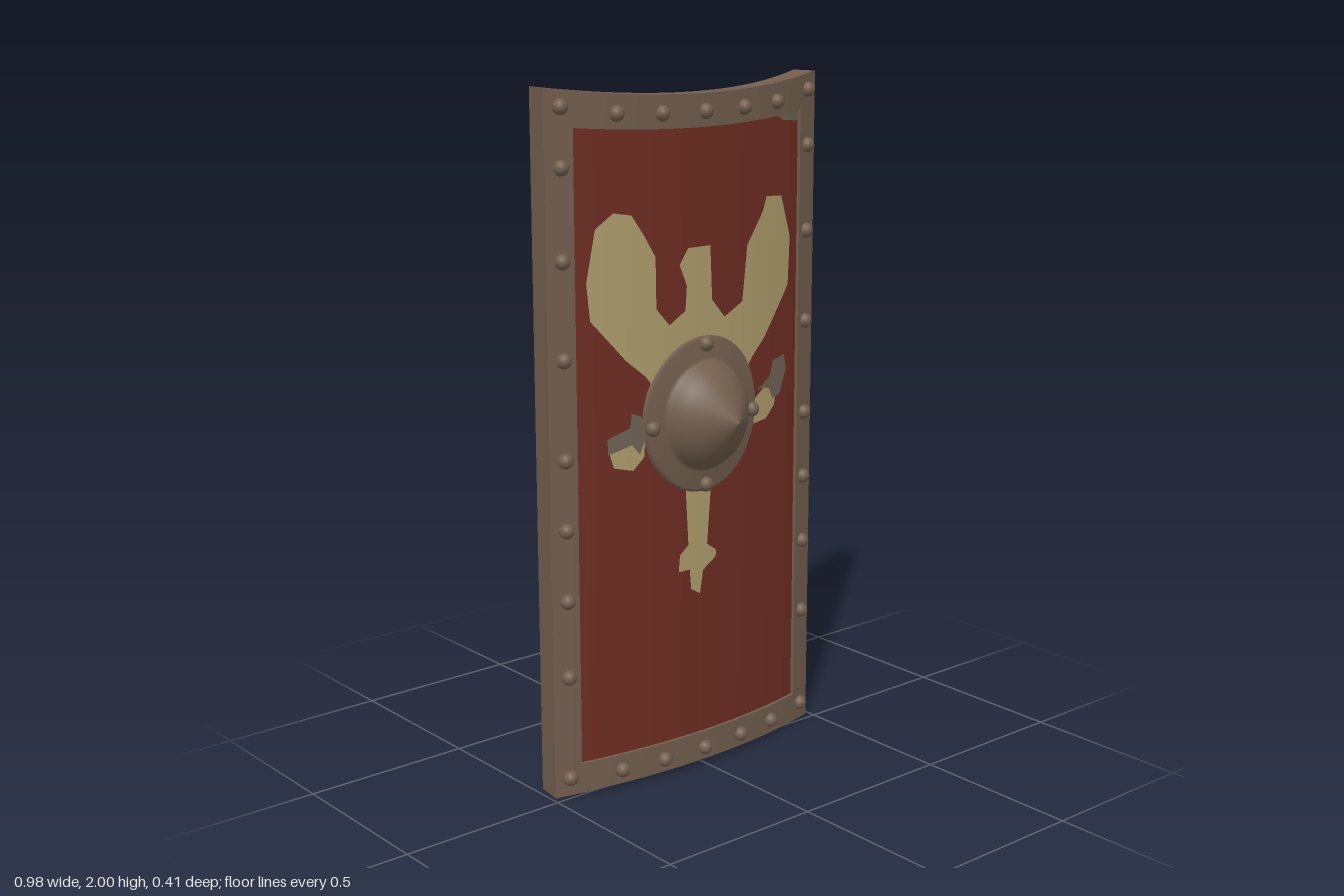
import * as THREE from 'three';

const mat = (name, color, extra = {}) => {
  const m = new THREE.MeshStandardMaterial({ color, ...extra });
  m.name = name;
  return m;
};

// Curved front and back surfaces of the rim, and the slightly sagging top and bottom edges
const frontZ = x => 0.055 - 0.34 * x * x;
const backZ = x => -0.005 - 0.44 * x * x;
const bow = x => Math.max(0, 1 - (x / 0.48) ** 2);
const topOuter = x => 2 - 0.033 * bow(x);
const topInner = x => 1.9 - 0.025 * bow(x);
const bottomOuter = x => 0.012 * bow(x);
const bottomInner = x => 0.09 + 0.01 * bow(x);
const INSET = 0.01;

// Bent slab between two x positions and two y curves
function slab(x0, x1, yLow, yHigh, inset, segments) {
  const g = new THREE.BoxGeometry(1, 1, 1, segments, 1, 1);
  const p = g.attributes.position;
  for (let i = 0; i < p.count; i++) {
    const front = p.getZ(i) > 0;
    const x = (x0 + (x1 - x0) * (p.getX(i) + 0.5)) * (front ? 1 : 0.975);
    const y = p.getY(i) > 0 ? yHigh(x) : yLow(x);
    p.setXYZ(i, x, y, front ? frontZ(x) - inset : backZ(x) + inset);
  }
  g.computeVertexNormals();
  return g;
}

// Thin painted face: a polygon cut into vertical strips that follow the panel curve
function paint(points, back = false, lift = 0.003) {
  const xs = points.map(q => q[0]);
  const lo = Math.min(...xs), hi = Math.max(...xs);
  for (let x = lo; x < hi; x += 0.025) xs.push(x);
  xs.sort((a, b) => a - b);
  const edges = points.map((a, i) => [a, points[(i + 1) % points.length]]);
  const yAt = ([a, b], x) => a[1] + (b[1] - a[1]) * (x - a[0]) / (b[0] - a[0]);
  const place = (x, y) => [x, y, back ? backZ(x) + INSET - lift : frontZ(x) - INSET + lift];
  const out = [];
  for (let i = 0; i + 1 < xs.length; i++) {
    const l = xs[i], r = xs[i + 1], mid = (l + r) / 2;
    if (r - l < 1e-6) continue;
    const hit = edges.filter(([a, b]) => (a[0] < mid) !== (b[0] < mid))
      .sort((e, f) => yAt(e, mid) - yAt(f, mid));
    for (let k = 0; k + 1 < hit.length; k += 2) {
      const a = place(l, yAt(hit[k], l)), b = place(r, yAt(hit[k], r));
      const c = place(r, yAt(hit[k + 1], r)), d = place(l, yAt(hit[k + 1], l));
      out.push(...(back ? [a, c, b, a, d, c] : [a, b, c, a, c, d]).flat());
    }
  }
  const g = new THREE.BufferGeometry();
  g.setAttribute('position', new THREE.Float32BufferAttribute(out, 3));
  g.computeVertexNormals();
  return g;
}

// Uneven round outline
const blob = (cx, cy, rx, ry, wobble, n = 32) => Array.from({ length: n }, (_, i) => {
  const t = i / n * Math.PI * 2;
  const k = 1 + wobble * (Math.sin(5 * t + 1) + 0.7 * Math.sin(9 * t));
  return [cx + rx * k * Math.cos(t), cy + ry * k * Math.sin(t)];
});

export function createModel() {
  const root = new THREE.Group();
  root.name = 'shield';
  const red = mat('red panel', 0x6e2d23);
  const metal = mat('dull bronze', 0x725e4e);
  const cream = mat('faded cream', 0xae9d6c);
  const grey = mat('worn grey', 0x706355);
  const brown = mat('dark brown', 0x4a3025);

  const add = (name, geometry, material, parent = root) => {
    const m = new THREE.Mesh(geometry, material);
    m.name = name;
    parent.add(m);
    return m;
  };

  // Panel and rim
  add('panel', slab(-0.45, 0.45, () => 0.05, () => 1.93, INSET, 32), red);
  const rim = new THREE.Group();
  rim.name = 'rim';
  root.add(rim);
  add('topRim', slab(-0.412, 0.412, topInner, topOuter, 0, 28), metal, rim);
  add('bottomRim', slab(-0.412, 0.412, bottomOuter, bottomInner, 0, 28), metal, rim);
  add('leftRim', slab(0.41, 0.488, bottomOuter, topOuter, 0, 3), metal, rim);
  add('rightRim', slab(-0.488, -0.41, bottomOuter, topOuter, 0, 3), metal, rim);

  // Rivets around the rim and on the boss
  const rivets = new THREE.Group();
  rivets.name = 'rivets';
  root.add(rivets);
  const rivetShape = new THREE.SphereGeometry(0.022, 14, 10);
  const rivet = (x, y, lift = 0.002) =>
    add('rivet', rivetShape, metal, rivets).position.set(x, y, frontZ(x) + lift);
  for (const y of [1.95, 1.79, 1.54, 1.27, 0.99, 0.79, 0.585, 0.36, 0.055])
    for (const side of [-1, 1]) rivet(side * 0.445, y);
  for (const x of [-0.288, -0.147, 0, 0.147, 0.288]) {
    rivet(x, 1.918 + 0.1 * x * x);
    rivet(x, 0.05);
  }
  for (const [x, y] of [[0, 1.27], [0, 0.86], [-0.185, 1.05], [0.185, 1.05]]) rivet(x, y, 0.004);

  // Central boss: flange and pointed dome, bent with the panel
  const profile = [[0.208, 0.03], [0.208, 0.05], [0.2, 0.058], [0.152, 0.061], [0.144, 0.068],
    [0.138, 0.085], [0.122, 0.11], [0.095, 0.138], [0.06, 0.164], [0.026, 0.187], [0, 0.203]];
  const bossShape = new THREE.LatheGeometry(profile.map(q => new THREE.Vector2(...q)), 48);
  bossShape.rotateX(Math.PI / 2).scale(1, 1.09, 1);
  const bp = bossShape.attributes.position;
  for (let i = 0; i < bp.count; i++) bp.setZ(i, bp.getZ(i) - 0.34 * bp.getX(i) ** 2);
  add('boss', bossShape, metal).position.y = 1.065;

  // Painted winged emblem on the front
  add('emblemWings', paint([[-0.375, 1.475], [-0.348, 1.62], [-0.295, 1.66], [-0.24, 1.65],
    [-0.2, 1.59], [-0.165, 1.53], [-0.163, 1.385], [-0.12, 1.335], [-0.065, 1.37], [-0.06, 1.44],
    [-0.085, 1.5], [-0.055, 1.545], [0.025, 1.545], [0.032, 1.39], [0.08, 1.335], [0.152, 1.37],
    [0.172, 1.53], [0.24, 1.62], [0.255, 1.66], [0.325, 1.655], [0.37, 1.53], [0.362, 1.39],
    [0.25, 1.25], [0.195, 1.2], [0.12, 1.1], [-0.12, 1.1], [-0.2, 1.2], [-0.26, 1.25],
    [-0.365, 1.37]]), cream);
  add('emblemTail', paint([[-0.065, 0.86], [0.03, 0.86], [0.015, 0.675], [0.05, 0.65],
    [0.048, 0.63], [0, 0.6], [-0.012, 0.53], [-0.045, 0.55], [-0.05, 0.61], [-0.09, 0.61],
    [-0.085, 0.66], [-0.055, 0.685]]), cream);
  add('emblemRightFoot', paint([[-0.315, 1.0], [-0.25, 1.03], [-0.2, 1.04], [-0.205, 0.97],
    [-0.24, 0.935], [-0.3, 0.95]]), cream);
  add('emblemRightClaw', paint([[-0.32, 1.035], [-0.25, 1.06], [-0.245, 1.1], [-0.195, 1.08],
    [-0.195, 1.035], [-0.22, 0.98], [-0.245, 1.01], [-0.318, 0.99]], false, 0.005), grey);
  add('emblemLeftFoot', paint([[0.2, 1.07], [0.25, 1.1], [0.31, 1.09], [0.3, 1.04],
    [0.26, 1.005], [0.205, 1.0]]), cream);
  add('emblemLeftClaw', paint([[0.22, 1.1], [0.275, 1.13], [0.29, 1.175], [0.345, 1.185],
    [0.355, 1.14], [0.325, 1.07], [0.29, 1.06], [0.27, 1.1]], false, 0.005), grey);
  add('cornerWear', paint([[0.29, 1.89], [0.33, 1.87], [0.412, 1.862], [0.412, 1.9],
    [0.3, 1.9]]), grey);

  // Worn areas on the back
  add('backPatch', paint(blob(0, 1.06, 0.195, 0.305, 0.025), true), grey);
  add('backWear', paint(blob(0.34, 1.435, 0.075, 0.085, 0.09), true), grey);
  add('gripWear', paint(blob(-0.345, 1.45, 0.055, 0.09, 0.07), true), grey);

  // Tube through (y, z) points, widened in x
  const bar = (points, radius, widen) => new THREE.TubeGeometry(
    new THREE.CatmullRomCurve3(points.map(([y, z]) => new THREE.Vector3(0, y, z))),
    48, radius, 12).scale(widen, 1, 1);

  // Leafy mount with a raised knob where a handle meets the panel
  const mount = (parent, material, x, y, way, size) => {
    const leaf = [[-0.02, -0.09], [-0.055, -0.045], [-0.03, -0.01], [-0.065, 0.035], [-0.035, 0.06],
      [-0.02, 0.055], [0, 0.11], [0.02, 0.055], [0.035, 0.06], [0.065, 0.035], [0.03, -0.01],
      [0.055, -0.045], [0.02, -0.09]];
    add('mountPlate', paint(leaf.map(q => [x + q[0] * size, y + q[1] * way * size]), true, 0.009),
      material, parent);
    for (const [dx, dy, r] of [[0, 0, 0.045], [-0.035, 0.035, 0.026], [0.035, 0.035, 0.026], [0, 0.075, 0.022]]) {
      const knob = add('mountKnob', new THREE.SphereGeometry(r * size, 14, 10), material, parent);
      knob.position.set(x + dx * size, y + dy * way * size, backZ(x) + INSET - 0.008);
      knob.scale.z = 0.75;
    }
  };

  // Long bowed arm handle
  const arm = new THREE.Group();
  arm.name = 'armHandle';
  root.add(arm);
  add('armBar', bar([[1.41, -0.02], [1.435, -0.095], [1.38, -0.135], [1.2, -0.174], [1, -0.187],
    [0.8, -0.174], [0.62, -0.135], [0.565, -0.095], [0.59, -0.02]], 0.017, 1.9), brown, arm)
    .position.x = 0.223;
  mount(arm, brown, 0.223, 1.44, 1, 1);
  mount(arm, brown, 0.223, 0.57, -1, 1);

  // Straight hand grip
  const hand = new THREE.Group();
  hand.name = 'handGrip';
  root.add(hand);
  add('gripBar', bar([[1.42, -0.04], [1.38, -0.09], [1.3, -0.105], [1, -0.106],
    [0.7, -0.105], [0.62, -0.09], [0.58, -0.04]], 0.02, 1.1), metal, hand).position.x = -0.345;
  const sleeve = add('gripSleeve', new THREE.CylinderGeometry(0.033, 0.033, 0.47, 10), metal, hand);
  sleeve.position.set(-0.345, 1.005, -0.106);
  mount(hand, metal, -0.34, 1.41, 1, 0.75);
  mount(hand, brown, -0.34, 0.57, -1, 0.85);

  return root;
}
